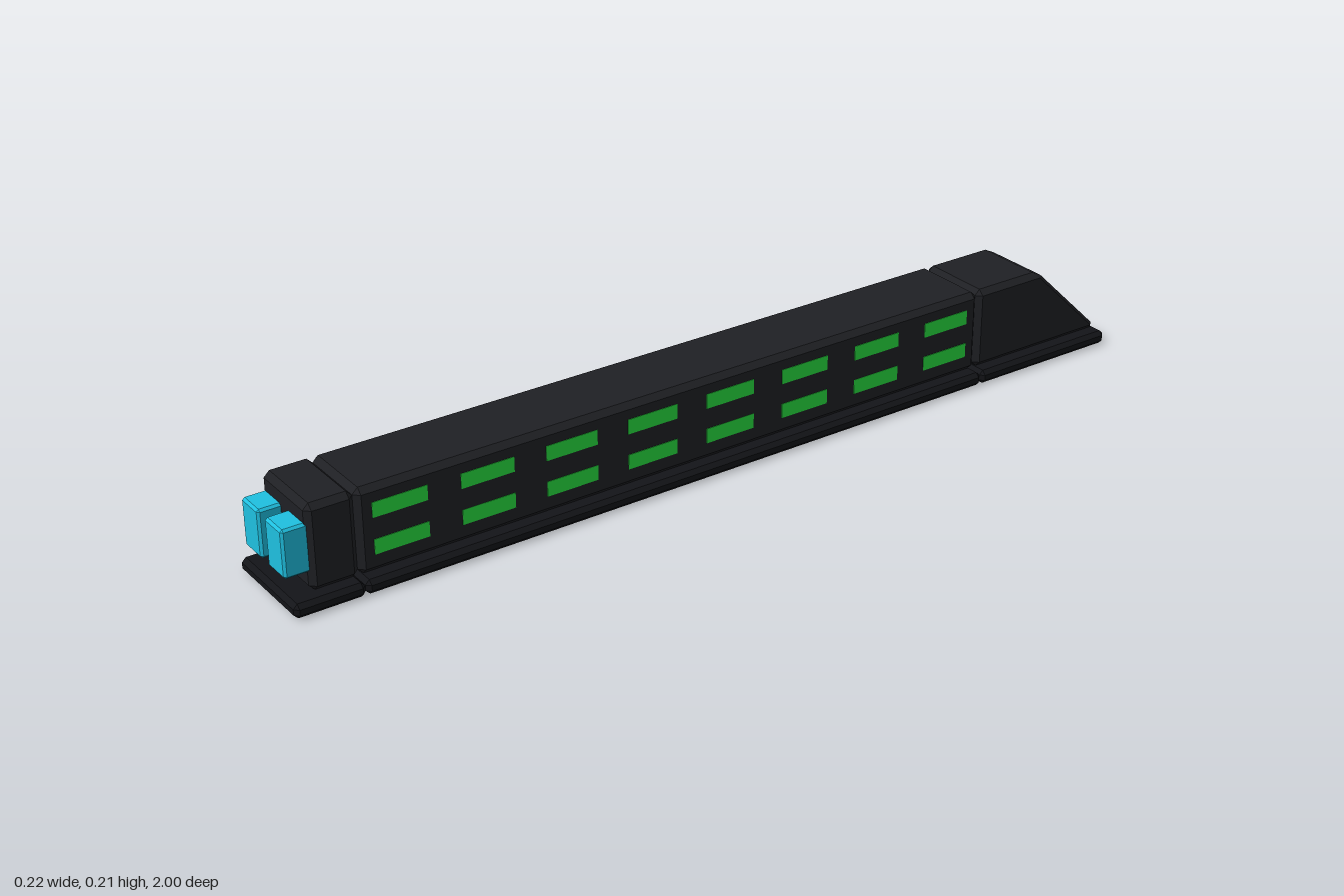
import * as THREE from 'three';
import { ConvexGeometry } from 'three/addons/geometries/ConvexGeometry.js';

const mat = (color) => new THREE.MeshStandardMaterial({ color });

// Box between two corners with all edges chamfered by c; an optional rule moves the points
function chamferBox([x0, y0, z0], [x1, y1, z1], c, rule) {
  const points = [];
  for (const sx of [0, 1]) for (const sy of [0, 1]) for (const sz of [0, 1]) {
    for (const axis of [0, 1, 2]) {
      const inset = [c, c, c];
      inset[axis] = 0;
      const p = new THREE.Vector3(
        sx ? x1 - inset[0] : x0 + inset[0],
        sy ? y1 - inset[1] : y0 + inset[1],
        sz ? z1 - inset[2] : z0 + inset[2]);
      if (rule) rule(p);
      points.push(p);
    }
  }
  return new ConvexGeometry(points);
}

export function createModel() {
  const model = new THREE.Group();
  const bodyMat = mat(0x1f2024);
  const baseMat = mat(0x131418);
  const cyanMat = mat(0x1fc0e0);
  const greenMat = mat(0x27e040);

  const add = (name, geometry, material) => {
    const mesh = new THREE.Mesh(geometry, material);
    mesh.name = name;
    model.add(mesh);
    return mesh;
  };

  // Three sections along z, each with a wider base plate
  const W = 0.088, B = 0.112, J1 = 0.853, J2 = -0.638;
  const slope = (p) => {
    if (p.z < -0.9) p.z += 0.163 * (p.y - 0.042) / 0.156;
  };
  const sections = [
    { name: 'front', base: [J1, 1], body: [J1, 0.953] },
    { name: 'middle', base: [J2, J1], body: [J2, J1] },
    { name: 'tail', base: [-1, J2], body: [-0.988, J2], rule: slope },
  ];
  for (const { name, base, body, rule } of sections) {
    add(`${name}Base`, chamferBox([-B, 0, base[0]], [B, 0.03, base[1]], 0.009), baseMat);
    add(`${name}Body`, chamferBox([-W, 0.03, body[0]], [W, 0.21, body[1]], 0.012, rule), bodyMat);
  }

  // Pair of blocks on the front face
  for (const [name, x] of [['leftFrontBlock', 0.046], ['rightFrontBlock', -0.046]]) {
    add(name, chamferBox([x - 0.033, 0.07, 0.94], [x + 0.033, 0.172, 1], 0.005), cyanMat);
  }

  // Two rows of eight panels on the left side only
  const panel = new THREE.BoxGeometry(0.004, 0.032, 0.116);
  for (const y of [0.084, 0.161]) {
    for (let i = 0; i < 8; i++) {
      add('sidePanel', panel, greenMat).position.set(W - 0.001, y, 0.763 - i * 0.1873);
    }
  }
  return model;
}
